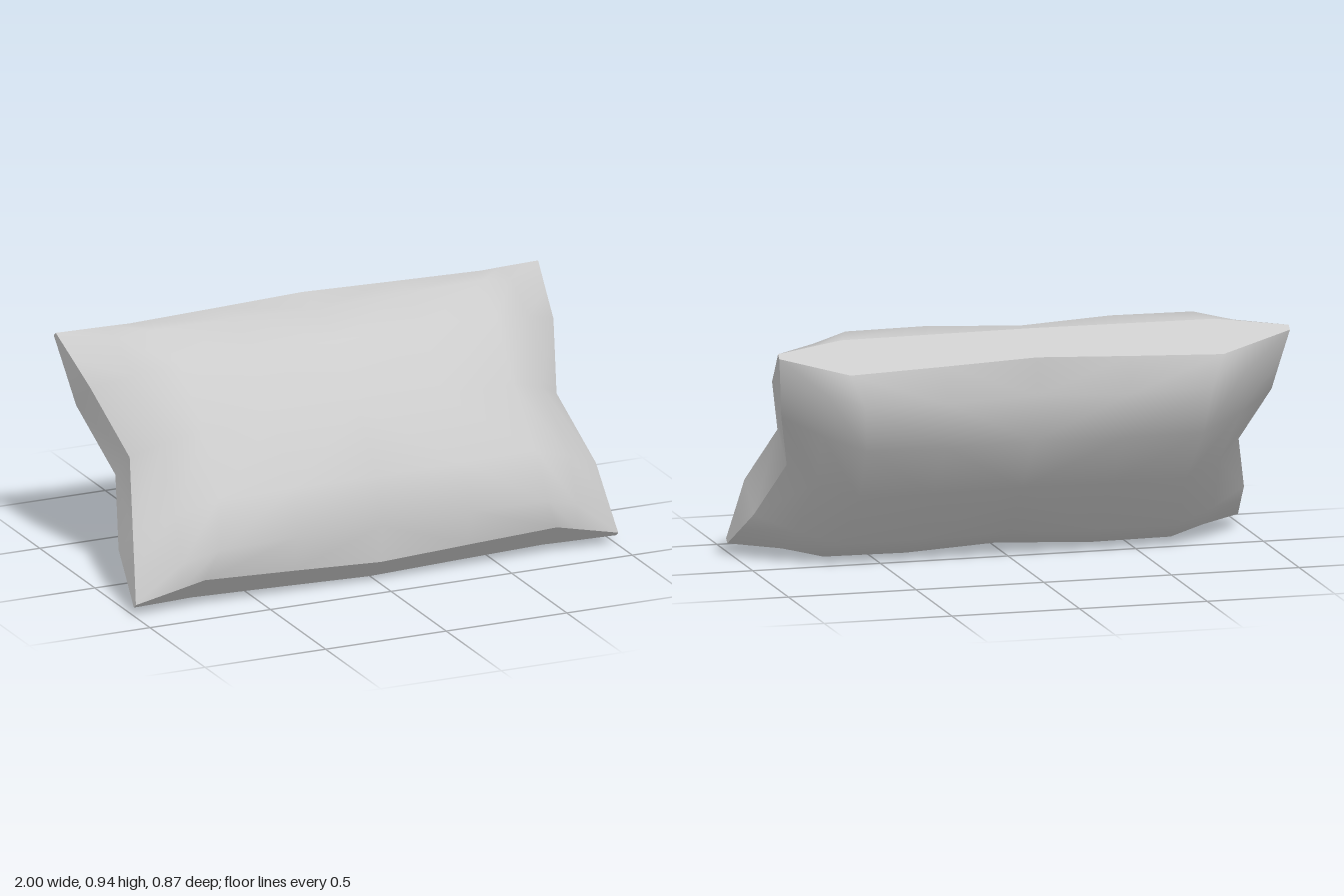
import * as THREE from 'three';

// One quarter of the padded face, [x, height, z]; rows run from the middle to the short side,
// entries run from the middle to the long side.
const QUARTER = [
  [[0, 0.258, 0], [0, 0.254, 0.28], [0, 0.167, 0.45], [0, 0.07, 0.557]],
  [[0.35, 0.264, 0], [0.35, 0.264, 0.28], [0.36, 0.189, 0.452], [0.36, 0.078, 0.543]],
  [[0.64, 0.262, 0], [0.66, 0.26, 0.28], [0.68, 0.183, 0.455], [0.73, 0.085, 0.53]],
  [[0.79, 0.18, 0], [0.82, 0.18, 0.29], [0.82, 0.125, 0.467], [0.82, 0.061, 0.541]],
  [[0.885, 0.085, 0], [0.96, 0.085, 0.298], [0.98, 0.048, 0.432], [1, 0.012, 0.562]],
];
const ACROSS = [-4, -3, -2, -1, 0, 1, 2, 3, 4];
const ALONG = [-3, -2, -1, 0, 1, 2, 3];

// Mirrors the quarter to any of the four quadrants
function point(i, j) {
  const [x, y, z] = QUARTER[Math.abs(i)][Math.abs(j)];
  return [Math.sign(i) * x, y, Math.sign(j) * z];
}

// Smooth sheet through rows of points, with diagonals running to its corners
function sheet(rows) {
  const n = rows[0].length;
  const index = [];
  for (let i = 0; i < rows.length - 1; i++) {
    for (let j = 0; j < n - 1; j++) {
      const a = i * n + j, b = a + 1, c = b + n, d = a + n;
      const toCorner = (i + 1 - rows.length / 2) * (j + 1 - n / 2) >= 0;
      index.push(...(toCorner ? [a, b, c, a, c, d] : [a, b, d, b, c, d]));
    }
  }
  const geometry = new THREE.BufferGeometry();
  geometry.setAttribute('position', new THREE.Float32BufferAttribute(rows.flat(2), 3));
  geometry.setIndex(index);
  geometry.computeVertexNormals();
  return geometry;
}

// Narrow wall hanging from an edge of the padded face to its mirror below
function wall(edge) {
  return sheet([edge, edge.map(([x, y, z]) => [x, -y, z])]);
}

export function createModel() {
  const material = new THREE.MeshStandardMaterial({ color: 0xcccccc });
  const pillow = new THREE.Group();
  pillow.name = 'pillow';

  const add = (name, geometry, rx = 0, ry = 0) => {
    const mesh = new THREE.Mesh(geometry, material);
    mesh.name = name;
    mesh.rotation.set(rx, ry, 0);
    pillow.add(mesh);
  };

  // Padded faces
  const face = sheet(ACROSS.map((i) => ALONG.map((j) => point(i, j))));
  add('frontPadding', face);
  add('backPadding', face, Math.PI);

  // Side gussets, pinched in at the middle
  const side = wall(ALONG.map((j) => point(4, j)));
  add('leftGusset', side);
  add('rightGusset', side, 0, Math.PI);

  // Long gussets along the lower and upper edges
  const long = wall(ACROSS.map((i) => point(-i, 3)));
  add('lowerGusset', long);
  add('upperGusset', long, 0, Math.PI);

  // Lean the pillow back
  pillow.rotation.x = THREE.MathUtils.degToRad(49.7);
  pillow.position.y = 0.471;
  const model = new THREE.Group();
  model.name = 'leaningPillow';
  model.add(pillow);
  return model;
}
